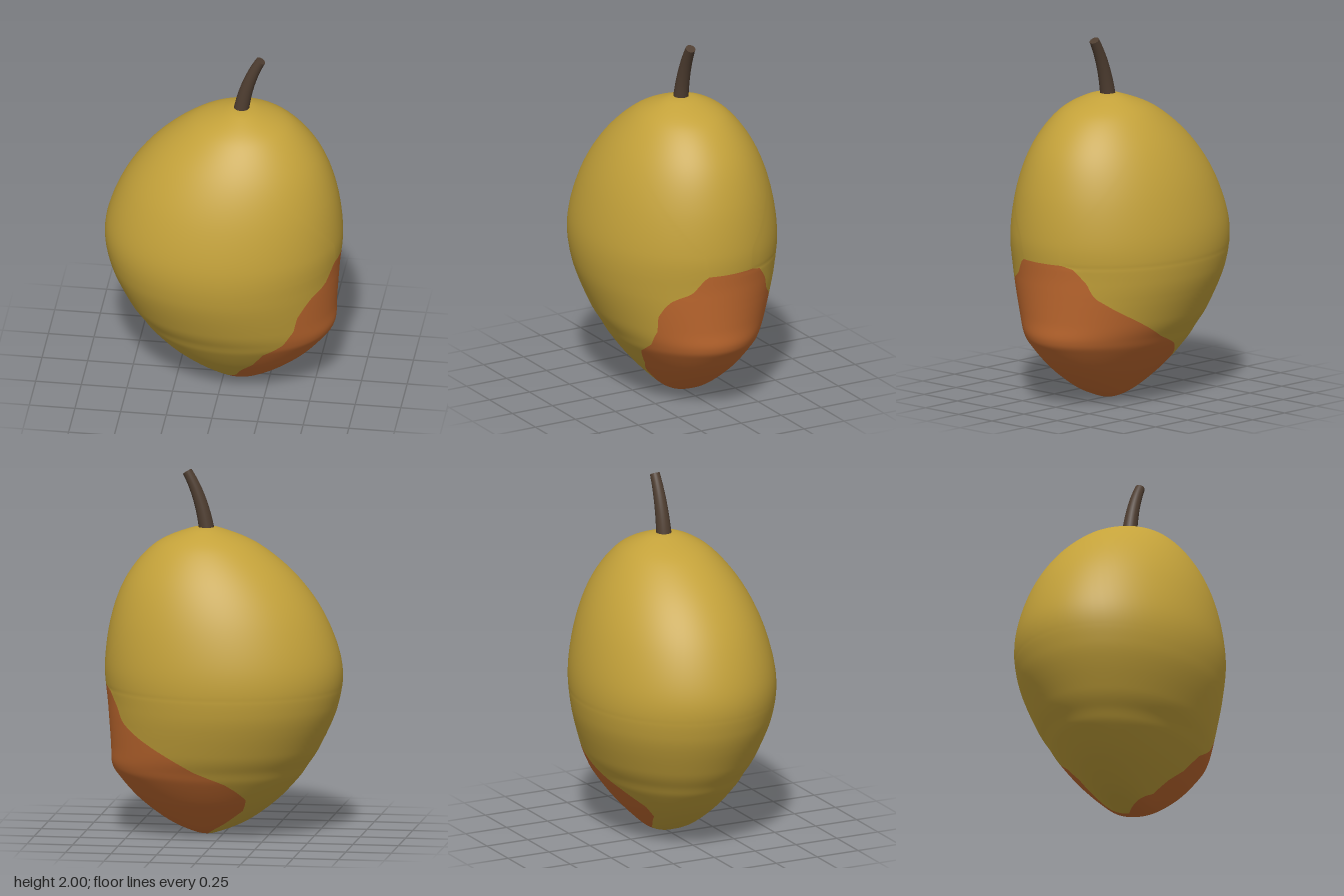
import * as THREE from 'three';

// Body cross-sections, top to bottom: [height, left x, right x, half depth]
const SECTIONS = [
  [1.69, 0.09, 0.09, 0], [1.675, 0, 0.2, 0.11], [1.59, -0.2, 0.38, 0.255],
  [1.42, -0.405, 0.525, 0.39], [1.2, -0.56, 0.61, 0.487], [0.94, -0.648, 0.645, 0.54],
  [0.72, -0.625, 0.628, 0.525], [0.5, -0.53, 0.613, 0.455], [0.39, -0.46, 0.608, 0.4],
  [0.32, -0.41, 0.568, 0.36], [0.2, -0.295, 0.46, 0.27], [0.09, -0.145, 0.315, 0.165],
  [0.03, -0.01, 0.19, 0.09], [0.005, 0.09, 0.09, 0],
];

// Ripe patch limits, top to bottom: [height, front angle, back angle] in degrees
const BLUSH_TOP = 0.83;
const BLUSH = [
  [1.69, 90, -90], [0.95, 16, -16], [0.83, 13, -15], [0.81, 16, -23], [0.73, 23, -31],
  [0.69, 34, -33], [0.65, 39, -36], [0.58, 45, -49], [0.49, 48, -68], [0.4, 57, -87],
  [0.33, 69, -106], [0.23, 74, -126], [0.16, 83, -131], [0.08, 90, -122], [0.02, 130, -110],
  [0, 140, -110],
];

// Smooth section at u, mirrored past both poles so the ends stay round
function sectionAt(u) {
  const last = SECTIONS.length - 1;
  const at = (i) => {
    if (i >= 0 && i <= last) return SECTIONS[i];
    const [y, l, r, d] = SECTIONS[i < 0 ? -i : 2 * last - i];
    return [y, r, l, -d];
  };
  const i = Math.min(Math.floor(u), last - 1), t = u - i;
  const [a, b, c, d] = [at(i - 1), at(i), at(i + 1), at(i + 2)];
  return b.map((p, k) => p + 0.5 * t * (c[k] - a[k]
    + t * (2 * a[k] - 5 * p + 4 * c[k] - d[k] + t * (3 * (p - c[k]) + d[k] - a[k]))));
}

function blushAt(y) {
  let i = 0;
  while (i < BLUSH.length - 2 && BLUSH[i + 1][0] > y) i++;
  const a = BLUSH[i], b = BLUSH[i + 1];
  const t = THREE.MathUtils.clamp((a[0] - y) / (a[0] - b[0]), 0, 1);
  return [1, 2].map((k) => THREE.MathUtils.degToRad(a[k] + (b[k] - a[k]) * t));
}

// One closed skin whose columns follow the patch edge; two material groups
function bodyGeometry() {
  const rows = 156, patchCols = 36, cols = 96;
  const positions = [], skin = [], blush = [], heights = [];
  for (let i = 0; i <= rows; i++) {
    const [y, left, right, depth] = sectionAt((i / rows) * (SECTIONS.length - 1));
    const [front, back] = blushAt(y);
    heights.push(y);
    for (let j = 0; j < cols; j++) {
      const angle = j <= patchCols
        ? back + (front - back) * (j / patchCols)
        : front + (back + 2 * Math.PI - front) * ((j - patchCols) / (cols - patchCols));
      positions.push(
        (left + right) / 2 + ((right - left) / 2) * Math.cos(angle), y, depth * Math.sin(angle));
    }
  }
  for (let i = 0; i < rows; i++) {
    for (let j = 0; j < cols; j++) {
      const a = i * cols + j, b = i * cols + ((j + 1) % cols);
      const target = j < patchCols && heights[i] < BLUSH_TOP + 0.005 ? blush : skin;
      target.push(a, b, a + cols, b, b + cols, a + cols);
    }
  }
  const geometry = new THREE.BufferGeometry();
  geometry.setAttribute('position', new THREE.Float32BufferAttribute(positions, 3));
  geometry.setIndex([...skin, ...blush]);
  geometry.addGroup(0, skin.length, 0);
  geometry.addGroup(skin.length, blush.length, 1);
  geometry.computeVertexNormals();
  return geometry;
}

// Tapered cylinder bent along a curve
function stemGeometry() {
  const path = new THREE.QuadraticBezierCurve3(
    new THREE.Vector3(0.088, 1.65, 0), new THREE.Vector3(0.115, 1.85, 0),
    new THREE.Vector3(0.199, 1.992, 0));
  const geometry = new THREE.CylinderGeometry(0.027, 0.043, 1, 24, 14);
  const pos = geometry.attributes.position, normals = geometry.attributes.normal;
  for (let i = 0; i < pos.count; i++) {
    const t = THREE.MathUtils.clamp(pos.getY(i) + 0.5, 0, 1);
    const p = path.getPoint(t), dir = path.getTangent(t), x = pos.getX(i);
    pos.setXYZ(i, p.x + x * dir.y, p.y - x * dir.x, pos.getZ(i));
    const nx = normals.getX(i), ny = normals.getY(i);
    normals.setXYZ(i, nx * dir.y + ny * dir.x, ny * dir.y - nx * dir.x, normals.getZ(i));
  }
  return geometry;
}

export function createModel() {
  const material = (name, color) => {
    const m = new THREE.MeshStandardMaterial({ color });
    m.name = name;
    return m;
  };
  const skin = material('yellow skin', 0xc4a23a);
  const blush = material('orange blush', 0xc0692f);
  const bark = material('brown stem', 0x4f3e31);

  const model = new THREE.Group();
  model.name = 'mango';
  const body = new THREE.Mesh(bodyGeometry(), [skin, blush]);
  body.name = 'fruitBody';
  const stem = new THREE.Mesh(stemGeometry(), bark);
  stem.name = 'stem';
  model.add(body, stem);
  return model;
}
